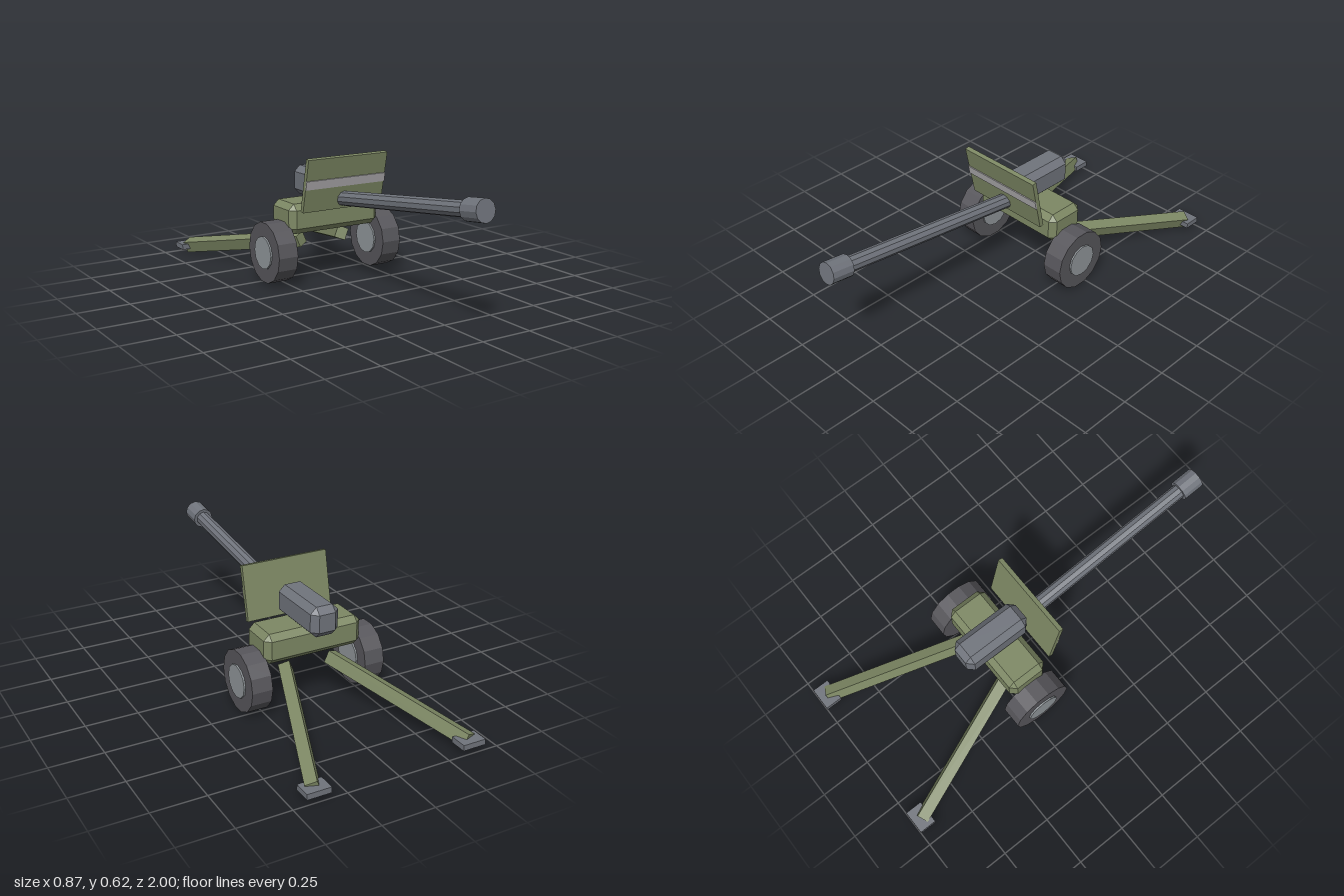
import * as THREE from 'three';
import { ConvexGeometry } from 'three/addons/geometries/ConvexGeometry.js';

const material = (name, color) => {
  const m = new THREE.MeshStandardMaterial({ color, flatShading: true });
  m.name = name;
  return m;
};

// Box with every edge and corner cut by c
function chamferedBox(w, h, d, c) {
  const points = [];
  const half = [w / 2, h / 2, d / 2];
  for (const sx of [-1, 1]) for (const sy of [-1, 1]) for (const sz of [-1, 1]) {
    for (let axis = 0; axis < 3; axis++) {
      const p = half.map((v, i) => (i === axis ? v : v - c));
      points.push(new THREE.Vector3(p[0] * sx, p[1] * sy, p[2] * sz));
    }
  }
  return new ConvexGeometry(points);
}

export function createModel() {
  const olive = material('olive paint', 0x7d8864);
  const gunmetal = material('gunmetal', 0x70747c);
  const rubber = material('rubber', 0x57565b);
  const steel = material('hub steel', 0x90969a);
  const pale = material('pale stripe', 0xb0aeb0);

  const model = new THREE.Group();
  model.name = 'fieldGun';
  const add = (name, geometry, mat, x, y, z, parent = model) => {
    const mesh = new THREE.Mesh(geometry, mat);
    mesh.name = name;
    mesh.position.set(x, y, z);
    parent.add(mesh);
    return mesh;
  };

  // Carriage and breech
  add('carriage', chamferedBox(0.494, 0.145, 0.2, 0.028), olive, 0, 0.316, -0.2);
  add('breech', chamferedBox(0.14, 0.145, 0.348, 0.03), gunmetal, 0, 0.449, -0.23);

  // Barrel and muzzle share one raised axis
  const gun = new THREE.Group();
  gun.name = 'gunBarrel';
  gun.position.set(0, 0.405, -0.062);
  gun.rotation.x = Math.PI / 2 - 0.128;
  model.add(gun);
  add('barrel', new THREE.CylinderGeometry(0.036, 0.036, 1.0, 10), gunmetal, 0, 0.5, 0, gun);
  add('muzzle', new THREE.CylinderGeometry(0.051, 0.051, 0.105, 12), gunmetal, 0, 1.012, 0, gun);

  // Shield leaning forward, with a painted stripe on its front
  const shield = new THREE.Group();
  shield.name = 'shield';
  shield.position.set(0, 0.49, -0.028);
  shield.rotation.x = 0.21;
  model.add(shield);
  add('shieldPlate', new THREE.BoxGeometry(0.436, 0.262, 0.022), olive, 0, 0, 0, shield);
  add('shieldStripe', new THREE.BoxGeometry(0.437, 0.043, 0.006), pale, 0, 0.006, 0.013, shield);

  // Wheels, trail legs and feet on both sides
  const tyre = new THREE.CylinderGeometry(0.148, 0.148, 0.101, 14).rotateZ(Math.PI / 2);
  const hub = new THREE.CylinderGeometry(0.08, 0.08, 0.117, 12).rotateZ(Math.PI / 2);
  const up = new THREE.Vector3(0, 1, 0);
  for (const [side, s] of [['left', 1], ['right', -1]]) {
    add(side + 'Tyre', tyre, rubber, s * 0.2915, 0.155, -0.2);
    add(side + 'Hub', hub, steel, s * 0.2915, 0.155, -0.2);

    const start = new THREE.Vector3(s * 0.116, 0.184, -0.235);
    const end = new THREE.Vector3(s * 0.384, 0.038, -0.955);
    const along = end.clone().sub(start);
    const mid = start.clone().add(end).multiplyScalar(0.5);
    const leg = add(side + 'TrailLeg', new THREE.BoxGeometry(0.055, along.length(), 0.06),
      olive, mid.x, mid.y, mid.z);
    leg.quaternion.setFromUnitVectors(up, along.normalize());
    add(side + 'Foot', new THREE.BoxGeometry(0.114, 0.027, 0.083), gunmetal, s * 0.38, 0.039, -0.958);
  }
  return model;
}
